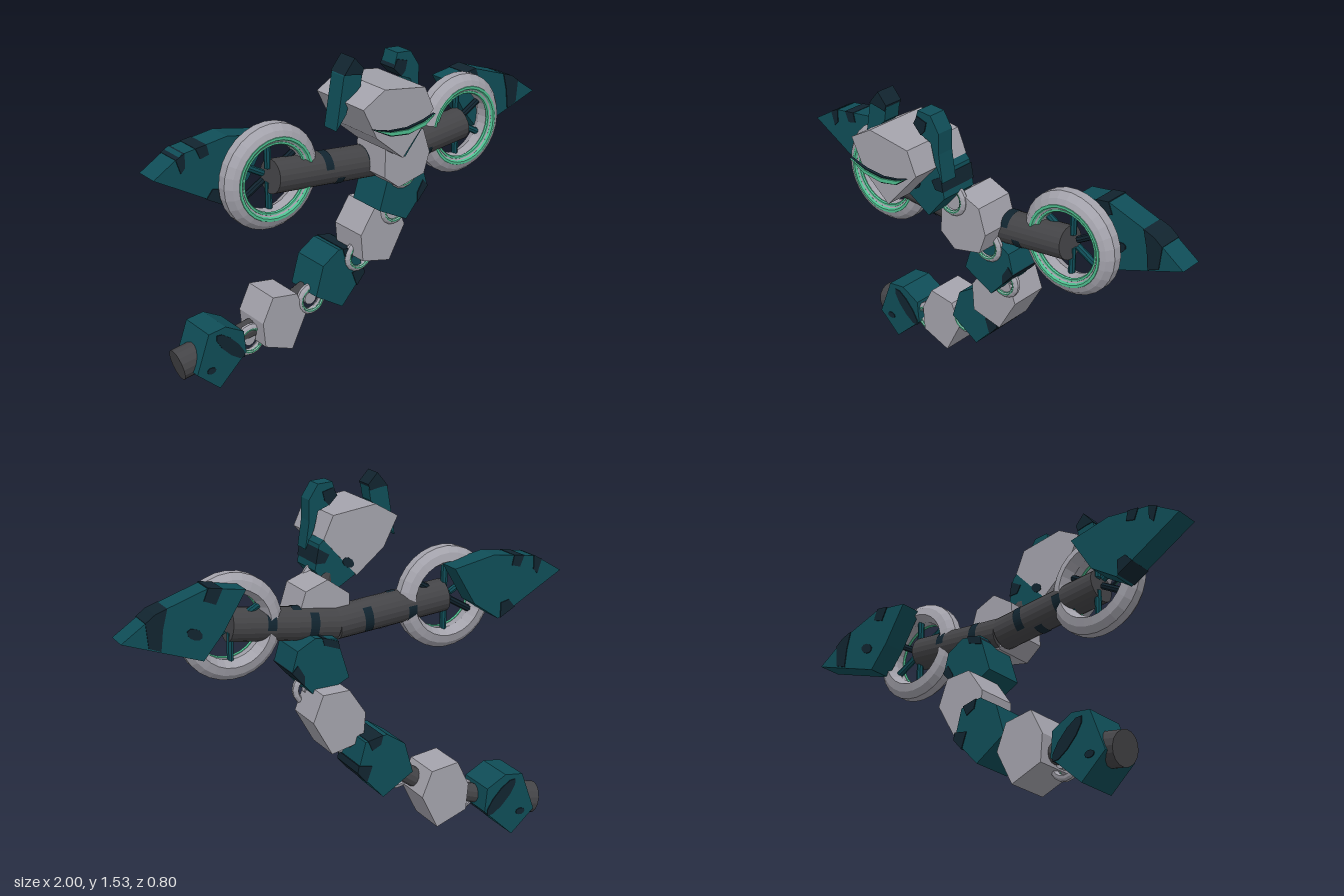
import * as THREE from 'three';

const mat = (name, color, extra = {}) => {
  const m = new THREE.MeshStandardMaterial({ color, flatShading: true, ...extra });
  m.name = name;
  return m;
};
const grey = mat('paleGrey', 0xa3a2ab);
const teal = mat('deepTeal', 0x0f4d57);
const dark = mat('darkGrey', 0x444447);
const green = mat('mintGreen', 0x4fbf90);
const navy = mat('navy', 0x11242f);

export function createModel() {
  const model = new THREE.Group();
  model.name = 'serpentGlider';

  const add = (name, geo, material, parent = model) => {
    const m = new THREE.Mesh(geo, material);
    m.name = name;
    parent.add(m);
    return m;
  };

  // Flat outline extruded from z0 to z1
  const prism = (name, pts, z0, z1, material) => {
    const shape = new THREE.Shape(pts.map(([x, y]) => new THREE.Vector2(x, y)));
    const geo = new THREE.ExtrudeGeometry(shape, { depth: z1 - z0, bevelEnabled: false });
    geo.translate(0, 0, z0);
    return add(name, geo, material);
  };
  // Camouflage patch: shows on both faces and any edge it reaches
  const patch = (pts, z0, z1) => prism('camouflagePatch', pts, z0 - 0.004, z1 + 0.004, navy);
  // Slanted oval patch outline
  const oval = (cx, cy, rx, ry, turn = 0) => Array.from({ length: 10 }, (_, i) => {
    const a = i / 10 * Math.PI * 2, u = rx * Math.cos(a), v = ry * Math.sin(a);
    return [cx + u * Math.cos(turn) - v * Math.sin(turn), cy + u * Math.sin(turn) + v * Math.cos(turn)];
  });

  // Cylinder between two points
  const rod = (name, a, b, r, material, sides = 16, parent = model) => {
    const A = new THREE.Vector3(...a), B = new THREE.Vector3(...b), d = B.clone().sub(A);
    const m = add(name, new THREE.CylinderGeometry(r, r, d.length(), sides), material, parent);
    m.position.copy(A).add(B).multiplyScalar(0.5);
    m.quaternion.setFromUnitVectors(new THREE.Vector3(0, 1, 0), d.normalize());
    return m;
  };

  // Faceted ring with mint trim, facing +z
  const ring = (name, x, y, z, s, sides) => {
    const g = new THREE.Group();
    g.name = name;
    const profile = [[0.165, -0.095], [0.2, -0.085], [0.225, -0.06], [0.225, -0.02], [0.202, 0.008],
      [0.177, 0.02], [0.15, 0.005], [0.142, -0.05], [0.165, -0.095]].map(p => new THREE.Vector2(...p));
    add('ringBody', new THREE.LatheGeometry(profile, sides).rotateX(Math.PI / 2), grey, g);
    add('outerTrim', new THREE.TorusGeometry(0.172, 0.011, 6, sides), green, g).position.z = 0.012;
    add('innerTrim', new THREE.TorusGeometry(0.15, 0.008, 6, sides), green, g).position.z = 0.002;
    g.position.set(x, y, z);
    g.scale.setScalar(s);
    model.add(g);
    return g;
  };

  // Head, jaw and mouth
  prism('head', [[-0.325, 1.36], [-0.22, 1.42], [-0.02, 1.39], [0.025, 1.29], [-0.13, 1.12], [-0.26, 1.23]],
    0.06, 0.36, grey);
  prism('jaw', [[-0.14, 1.135], [-0.09, 1.27], [-0.02, 1.33], [0.045, 1.27], [0.065, 1.16], [-0.02, 1.06]],
    0.062, 0.24, teal);
  patch([[0.0, 1.225], [0.05, 1.255], [0.062, 1.19], [0.02, 1.19]], 0.062, 0.24);
  patch(oval(-0.09, 1.18, 0.03, 0.02, 0.6), 0.062, 0.24);
  prism('mouthBacking', [[-0.305, 1.285], [-0.22, 1.262], [-0.13, 1.255], [-0.05, 1.268], [0.005, 1.285],
    [-0.05, 1.245], [-0.13, 1.228], [-0.22, 1.24]], 0.38, 0.394, navy);
  prism('mouth', [[-0.3, 1.284], [-0.22, 1.258], [-0.13, 1.25], [-0.05, 1.264], [0.0, 1.284],
    [-0.05, 1.248], [-0.13, 1.233], [-0.22, 1.244]], 0.394, 0.4, green);

  // Horns
  prism('rightHorn', [[-0.368, 1.25], [-0.33, 1.465], [-0.28, 1.528], [-0.238, 1.48], [-0.25, 1.41],
    [-0.305, 1.36], [-0.32, 1.31]], 0.165, 0.245, teal);
  patch([[-0.33, 1.47], [-0.28, 1.531], [-0.236, 1.482], [-0.245, 1.455], [-0.29, 1.465]], 0.165, 0.245);
  prism('leftHorn', [[-0.085, 1.45], [-0.067, 1.51], [0.0, 1.505], [0.042, 1.44], [0.042, 1.35],
    [0.06, 1.23], [0.02, 1.31], [0.0, 1.39], [-0.05, 1.41]], 0.165, 0.245, teal);
  patch([[-0.088, 1.45], [-0.07, 1.485], [-0.02, 1.47], [-0.03, 1.43], [-0.05, 1.41]], 0.165, 0.245);

  // Chest and tail segments, from top to tip
  const segments = [
    ['chest', grey, -0.05, 0.14, [[-0.04, 1.08], [0.06, 1.15], [0.16, 1.11], [0.195, 1.0], [0.165, 0.91],
      [0.03, 0.88], [-0.045, 0.94]]],
    ['tailSegment1', teal, -0.14, 0.045, [[0.06, 0.92], [0.16, 0.935], [0.24, 0.89], [0.265, 0.8],
      [0.15, 0.67], [0.005, 0.745]]],
    ['tailSegment2', grey, -0.225, -0.04, [[0.045, 0.72], [0.165, 0.715], [0.21, 0.6], [0.125, 0.45],
      [-0.02, 0.485], [-0.03, 0.61]]],
    ['tailSegment3', teal, -0.305, -0.12, [[-0.175, 0.475], [-0.09, 0.53], [0.01, 0.51], [0.045, 0.38],
      [-0.075, 0.25], [-0.215, 0.34]]],
    ['tailSegment4', grey, -0.365, -0.18, [[-0.455, 0.26], [-0.4, 0.37], [-0.275, 0.35], [-0.23, 0.24],
      [-0.305, 0.09], [-0.445, 0.145]]],
    ['tailSegment5', teal, -0.4, -0.22, [[-0.705, 0.275], [-0.62, 0.285], [-0.53, 0.235], [-0.52, 0.13],
      [-0.66, 0.0], [-0.77, 0.1]]],
  ];
  for (const [name, m, z0, z1, pts] of segments) prism(name, pts, z0, z1, m);
  patch([[0.055, 0.91], [0.13, 0.935], [0.12, 0.9], [0.05, 0.875]], -0.14, 0.045);
  patch([[0.24, 0.83], [0.267, 0.8], [0.21, 0.735], [0.21, 0.78]], -0.14, 0.045);
  patch([[-0.02, 0.4], [0.043, 0.412], [0.048, 0.38], [0.005, 0.33]], -0.305, -0.12);
  patch([[-0.07, 0.53], [0.0, 0.515], [-0.02, 0.47], [-0.06, 0.49]], -0.305, -0.12);
  patch(oval(-0.6, 0.185, 0.1, 0.03, -0.82), -0.4, -0.22);
  patch(oval(-0.7, 0.1, 0.022, 0.015), -0.4, -0.22);

  // Joints: a dark core along the spine with a trimmed ring around it
  const spine = [[-0.03, 1.2, 0.13], [0.08, 1.01, 0.045], [0.14, 0.81, -0.05], [0.1, 0.58, -0.13],
    [-0.08, 0.4, -0.21], [-0.34, 0.23, -0.27], [-0.65, 0.145, -0.31]];
  const joints = [[0.02, 1.11, 0.15], [0.13, 0.895, 0.055], [0.15, 0.69, -0.035], [0.015, 0.475, -0.11],
    [-0.195, 0.3, -0.18], [-0.48, 0.165, -0.24]];
  joints.forEach(([x, y, z], i) => {
    rod('jointCore', spine[i], spine[i + 1], 0.042, dark, 12);
    ring('jointRing', x, y, z, 0.33, 16);
    rod('jointPin', [x, y, z - 0.04], [x, y, z - 0.012], 0.03, grey, 12);
  });
  rod('tailTip', [-0.7, 0.14, -0.315], [-0.805, 0.118, -0.325], 0.07, dark);

  // Wing bar with camouflage wrapped round it
  const hub = [0.02, 0.955, -0.03];
  for (const side of [-1, 1]) {
    const end = [side * 0.5, 1.01, -0.025];
    const bar = rod(side < 0 ? 'rightWingBar' : 'leftWingBar', hub, end, 0.072, dark, 20);
    const half = bar.geometry.parameters.height / 2;
    [[-0.8, 0.4, 1.4], [-0.5, 2.4, 1.6], [-0.2, 4.2, 1.7], [0.05, 0.2, 1.5], [0.3, 3.0, 1.6]]
      .forEach(([t, start, sweep]) => {
        const band = new THREE.CylinderGeometry(0.075, 0.075, 0.04, 10, 1, true, start, sweep);
        add('barPatch', band, navy, bar).position.y = t * half;
      });

    // Wheel ring and its spokes
    const wheel = ring(side < 0 ? 'rightWheel' : 'leftWheel', side * 0.498, 1.01, 0, 1, 28);
    for (let i = 0; i < 6; i++) {
      const a = (i + 0.5) / 6 * Math.PI * 2;
      rod('spoke', [0.03 * Math.cos(a), 0.03 * Math.sin(a), -0.045],
        [0.15 * Math.cos(a), 0.15 * Math.sin(a), -0.045], 0.015, i % 3 ? teal : navy, 8, wheel);
    }
  }

  // Wing fins
  const fz = [-0.185, -0.078];
  prism('rightFin', [[-1, 1.1], [-0.87, 1.178], [-0.66, 1.205], [-0.47, 1.165], [-0.57, 1.0], [-0.69, 0.92]],
    ...fz, teal);
  prism('leftFin', [[1, 1.04], [0.85, 1.145], [0.64, 1.218], [0.48, 1.195], [0.58, 1.03], [0.665, 0.925]],
    ...fz, teal);
  patch([[0.81, 1.16], [0.86, 1.142], [0.9, 1.112], [0.89, 1.01], [0.84, 0.99], [0.83, 1.08]], ...fz);
  patch([[0.58, 1.212], [0.64, 1.221], [0.66, 1.17], [0.61, 1.15]], ...fz);
  patch(oval(0.7, 1.04, 0.035, 0.022, 0.5), ...fz);
  patch([[-0.81, 1.188], [-0.76, 1.194], [-0.75, 1.15], [-0.79, 1.14]], ...fz);
  patch([[-0.9, 1.162], [-0.86, 1.181], [-0.86, 1.12], [-0.88, 1.1]], ...fz);
  patch([[-0.77, 0.964], [-0.7, 0.924], [-0.7, 0.99], [-0.74, 1.0]], ...fz);

  return model;
}
